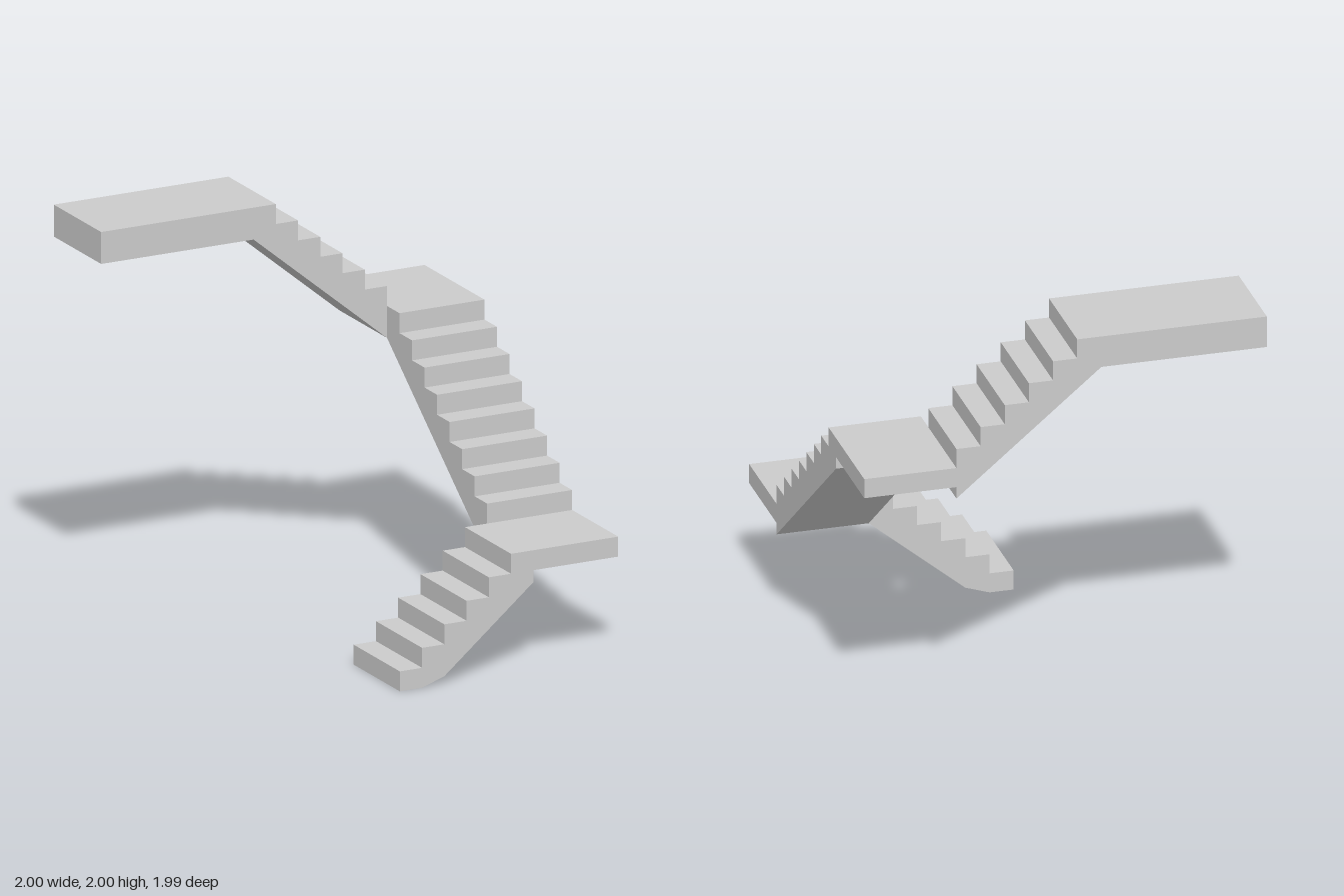
import * as THREE from 'three';

const material = new THREE.MeshStandardMaterial({ color: 0xcccccc, flatShading: true });

// Plan limits shared by flights and landings
const INNER_X = 0.542, OUTER_X = 1;
const FRONT = 0.993, FRONT_INNER = 0.52, BACK_INNER = -0.507, BACK = -0.993;
const RISE = 0.1;

// Saw-tooth flight climbing along local +x from the origin, closed by an underside path
// given from the top end back to the foot, and extruded along local +z.
function flight(name, steps, tread, width, underside) {
  const shape = new THREE.Shape();
  shape.moveTo(0, 0);
  for (let i = 0; i < steps; i++) {
    shape.lineTo(i * tread, (i + 1) * RISE);
    shape.lineTo((i + 1) * tread, (i + 1) * RISE);
  }
  underside.forEach(([u, v]) => shape.lineTo(u, v));
  shape.closePath();
  const mesh = new THREE.Mesh(
    new THREE.ExtrudeGeometry(shape, { depth: width, bevelEnabled: false }), material);
  mesh.name = name;
  return mesh;
}

// Flat slab with its top at the given height
function landing(name, x0, x1, z0, z1, top, thickness) {
  const mesh = new THREE.Mesh(new THREE.BoxGeometry(x1 - x0, thickness, z1 - z0), material);
  mesh.position.set((x0 + x1) / 2, top - thickness / 2, (z0 + z1) / 2);
  mesh.name = name;
  return mesh;
}

export function createModel() {
  const group = new THREE.Group();
  group.name = 'staircase';

  // Lower flight rises toward +x, with a softened foot on the ground
  const tread = 0.12;
  const lower = flight('lowerFlight', 6, tread, FRONT - FRONT_INNER,
    [[6 * tread, 0.44], [2 * tread, 0.04], [tread, 0]]);
  lower.position.set(INNER_X - 6 * tread, 0, FRONT_INNER);

  // Middle flight rises toward -z
  const run = FRONT_INNER - BACK_INNER;
  const middle = flight('middleFlight', 8, run / 8, OUTER_X - INNER_X,
    [[run, 0.64], [0, -0.16]]);
  middle.rotation.y = Math.PI / 2;
  middle.position.set(INNER_X, 0.6, FRONT_INNER);

  // Upper flight rises toward -x; its last tread runs into the top landing
  const upper = flight('upperFlight', 6, tread, BACK_INNER - BACK,
    [[6 * tread, 0.44], [0, -0.16]]);
  upper.rotation.y = Math.PI;
  upper.position.set(INNER_X, 1.4, BACK_INNER);

  group.add(
    lower, middle, upper,
    landing('lowerLanding', INNER_X, OUTER_X, FRONT_INNER, FRONT, 0.6, 0.1),
    landing('middleLanding', INNER_X, OUTER_X, BACK, BACK_INNER, 1.4, 0.1),
    landing('topLanding', -1, INNER_X - 6 * tread, BACK, BACK_INNER, 2, 0.16));
  return group;
}
